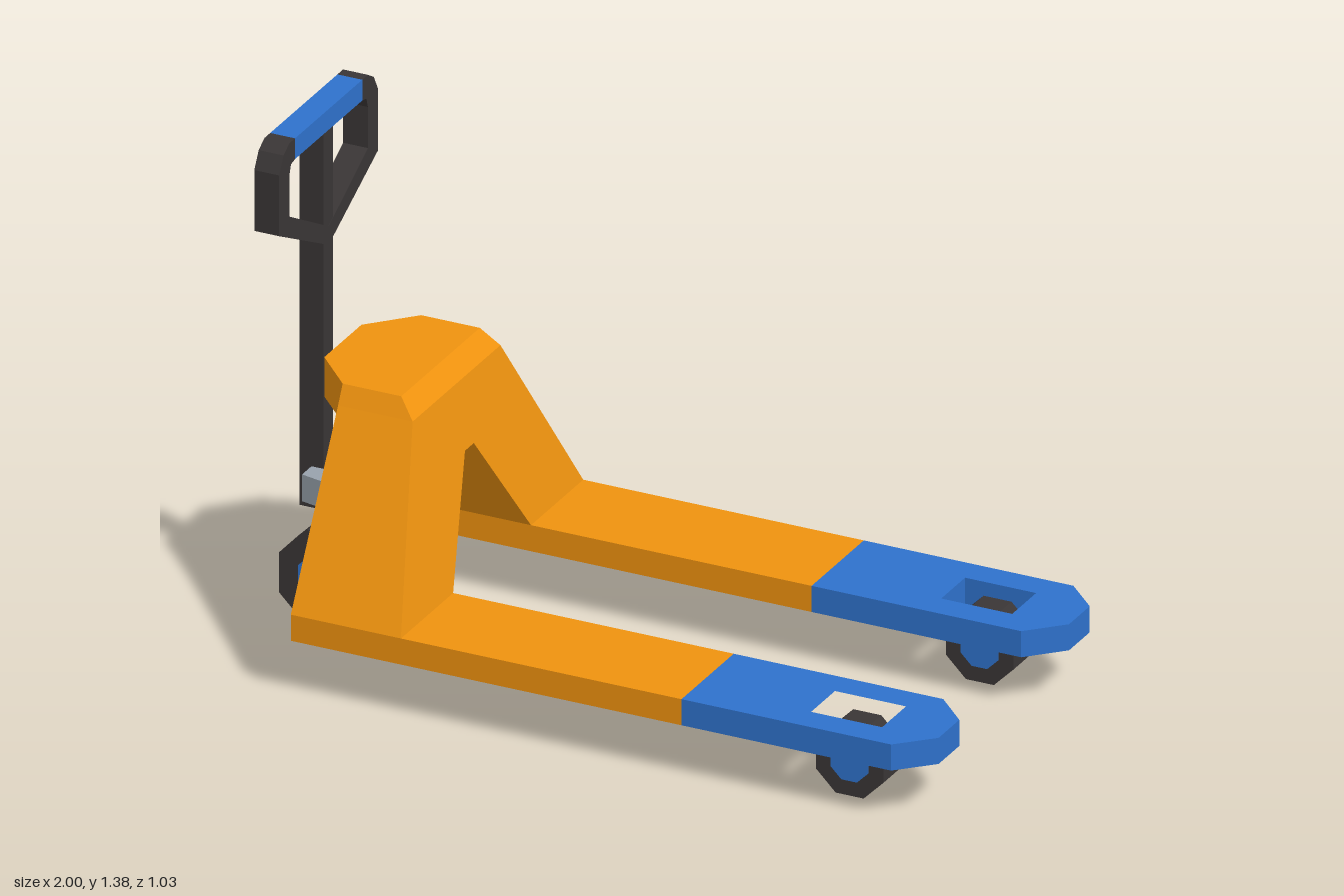
import * as THREE from 'three';

const material = (color) => new THREE.MeshStandardMaterial({ color, flatShading: true });

export function createModel() {
  const model = new THREE.Group();
  const orange = material(0xf0930f);
  const blue = material(0x2f72cc);
  const dark = material(0x3a3636);
  const grey = material(0x98a2ac);

  const add = (name, geometry, mat) => {
    const mesh = new THREE.Mesh(geometry, mat);
    mesh.name = name;
    model.add(mesh);
    return mesh;
  };
  const box = (x0, x1, y0, y1, z0, z1) =>
    new THREE.BoxGeometry(x1 - x0, y1 - y0, z1 - z0)
      .translate((x0 + x1) / 2, (y0 + y1) / 2, (z0 + z1) / 2);
  const outline = (pts) => pts.map(([a, b]) => new THREE.Vector2(a, -b));

  // Horizontal plate from an (x, z) outline, with optional hole
  const plate = (pts, y0, y1, hole) => {
    const shape = new THREE.Shape(outline(pts));
    if (hole) shape.holes.push(new THREE.Path(outline(hole)));
    return new THREE.ExtrudeGeometry(shape, { depth: y1 - y0, bevelEnabled: false })
      .rotateX(-Math.PI / 2).translate(0, y0, 0);
  };
  // Upright plate from a (z, y) outline, thickness along x
  const upright = (pts, x0, x1) => {
    const shape = new THREE.Shape(pts.map(([z, y]) => new THREE.Vector2(-z, y)));
    return new THREE.ExtrudeGeometry(shape, { depth: x1 - x0, bevelEnabled: false })
      .rotateY(Math.PI / 2).translate(x0, 0, 0);
  };
  const mirrorOutline = (half) => [...half, ...half.map(([a, b]) => [-a, b]).reverse()];
  const mirrorPlan = (half) => [...half, ...half.map(([a, b]) => [a, -b]).reverse()];

  // Octagonal disc resting on a flat, r measured to the flats
  const disc = (r, width, x, y, z) =>
    new THREE.CylinderGeometry(r / Math.cos(Math.PI / 8), r / Math.cos(Math.PI / 8), width, 8, 1, false, Math.PI / 8)
      .rotateX(Math.PI / 2).translate(x, y, z);
  const wheel = (name, r, hubR, width, x, z) => {
    add(name + 'Tyre', disc(r, width, x, r, z), dark);
    add(name + 'Hub', disc(hubR, width + 0.006, x, r, z), blue);
  };

  for (const s of [1, -1]) {
    const side = s > 0 ? 'left' : 'right';
    const flip = (pts) => pts.map(([x, z]) => [x, z * s]);
    // Fork arm and blue tip with wheel slot
    add(side + 'Fork', box(-0.78, 0.32, 0.147, 0.22, s > 0 ? 0.22 : -0.515, s > 0 ? 0.515 : -0.22), orange);
    add(side + 'ForkTip', plate(
      flip([[0.32, 0.22], [0.91, 0.22], [1, 0.31], [1, 0.427], [0.91, 0.515], [0.32, 0.515]]),
      0.147, 0.22,
      flip([[0.645, 0.3], [0.845, 0.3], [0.845, 0.435], [0.645, 0.435]])), blue);
    wheel(side + 'LoadWheel', 0.095, 0.053, 0.1, 0.745, s * 0.368);
    wheel(side + 'SteerWheel', 0.135, 0.08, 0.11, -0.86, s * 0.095);

    // Half of the handle loop
    add(side + 'HandleLoop', upright([
      [0, 1.0], [0.28, 1.145], [0.28, 1.315], [0.255, 1.36], [0.222, 1.38], [0.19, 1.38],
      [0.19, 1.322], [0.213, 1.317], [0.222, 1.29], [0.222, 1.175], [0, 1.052],
    ].map(([z, y]) => [z * s, y]), -1, -0.93), dark);
  }

  // Arched tower: front face leans back, then breaks at the top chamfer
  const frontX = (y) => (y <= 0.69
    ? -0.47 - 0.1 * (y - 0.22) / 0.47
    : -0.57 - 0.045 * (y - 0.69) / 0.05);
  const towerSections = {
    towerArch: [[0.025, 0.52], [0.22, 0.22], [0.515, 0.22], [0.248, 0.69]],
    towerTop: [[0.248, 0.69], [0.222, 0.74]],
  };
  for (const [name, half] of Object.entries(towerSections)) {
    const geometry = upright(mirrorOutline(half), -0.78, 0);
    const p = geometry.attributes.position;
    for (let i = 0; i < p.count; i++) {
      if (p.getX(i) > -0.4) p.setX(i, frontX(p.getY(i)));
    }
    geometry.computeVertexNormals();
    add(name, geometry, orange);
  }
  add('towerRearCap', plate(mirrorPlan([[-0.78, 0.222], [-0.89, 0.105]]), 0.63, 0.74), orange);

  // Pivot bracket, steering post and axle block
  add('pivotBracket', plate(mirrorPlan([[-0.66, 0.22], [-0.78, 0.22], [-0.9, 0.095], [-0.965, 0.08]]), 0.31, 0.385), grey);
  add('steeringPost', box(-0.91, -0.81, 0.14, 0.31, -0.031, 0.031), grey);
  add('axleBlock', disc(0.095, 0.08, -0.86, 0.14, 0), grey);

  // Handle shaft and grip
  add('handleShaft', box(-0.999, -0.931, 0.27, 1.325, -0.027, 0.027), dark);
  add('handleGrip', box(-1, -0.93, 1.322, 1.38, -0.19, 0.19), blue);

  return model;
}
